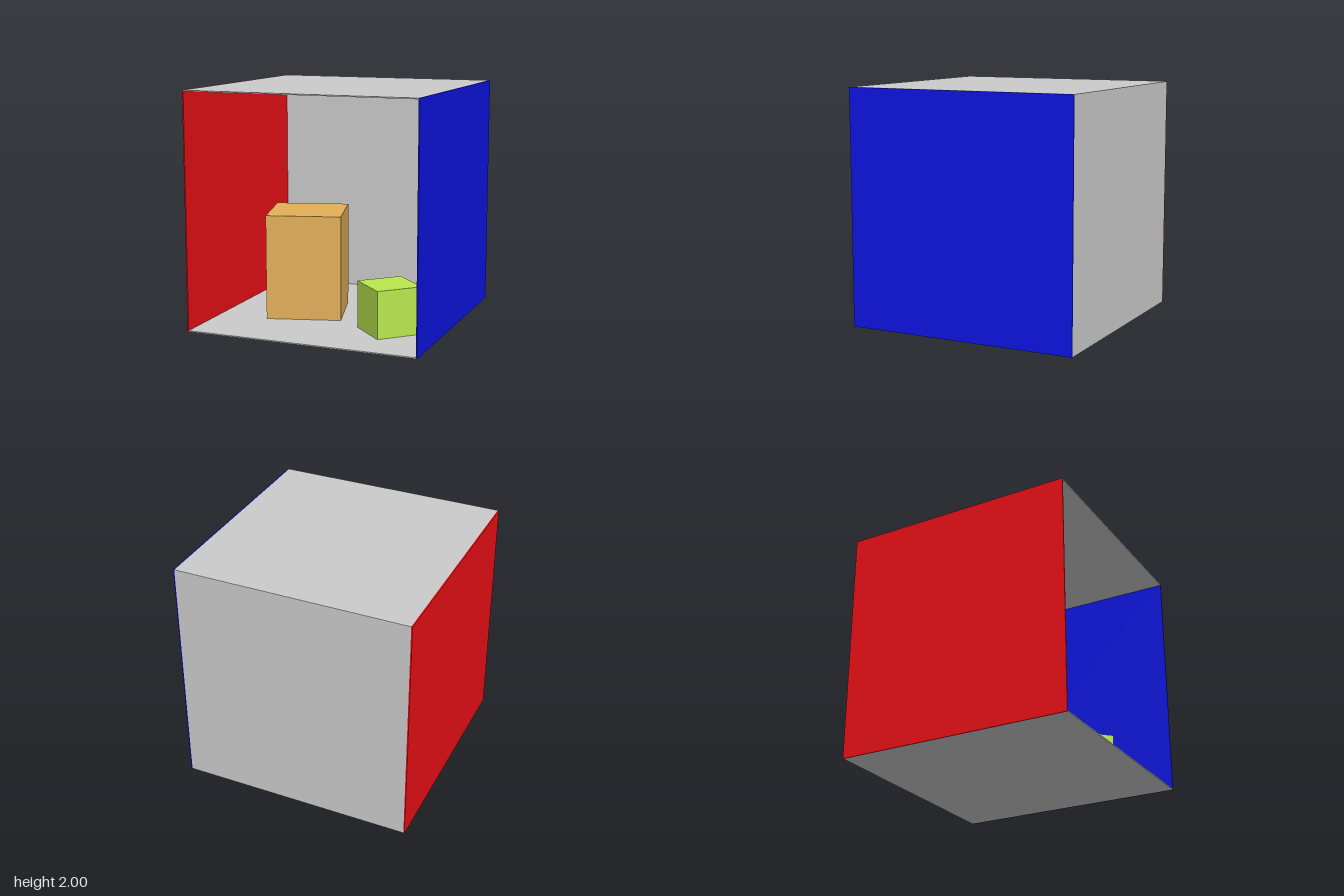
import * as THREE from 'three';

const T = 0.01; // wall thickness

function block(name, size, position, color, turn = 0) {
  const mesh = new THREE.Mesh(
    new THREE.BoxGeometry(...size),
    new THREE.MeshStandardMaterial({ color })
  );
  mesh.name = name;
  mesh.position.set(...position);
  mesh.rotation.y = THREE.MathUtils.degToRad(turn);
  return mesh;
}

export function createModel() {
  const room = new THREE.Group();
  room.name = 'openRoom';
  const grey = 0xcccccc;
  const inner = 2 - 2 * T;

  // Room shell, open at the front
  room.add(
    block('floor', [inner, T, 2], [0, T / 2, 0], grey),
    block('ceiling', [inner, T, 2], [0, 2 - T / 2, 0], grey),
    block('backWall', [inner, inner, T], [0, 1, -1 + T / 2], grey),
    block('rightWall', [T, 2, 2], [-1 + T / 2, 1, 0], 0xee1016),
    block('leftWall', [T, 2, 2], [1 - T / 2, 1, 0], 0x0e15e5)
  );

  // Two turned blocks standing on the floor
  room.add(
    block('tallBlock', [0.64, 0.9, 0.64], [-0.33, T + 0.45, 0.03], 0xe4b059, 16),
    block('shortBlock', [0.4, 0.4, 0.4], [0.55, T + 0.2, 0.38], 0xbae74e, 45)
  );
  return room;
}
